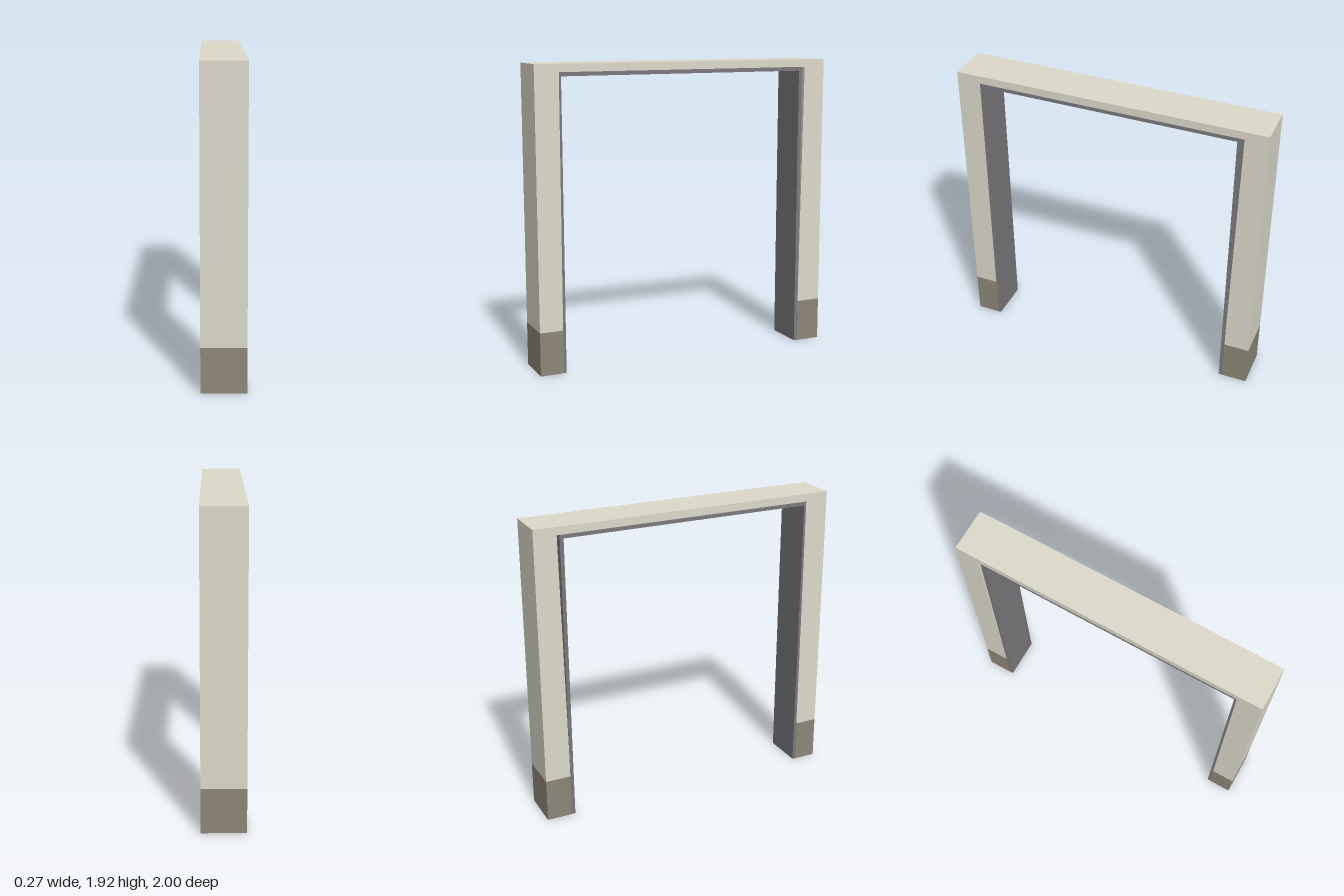
import * as THREE from 'three';

const WIDTH = 0.272;

const material = (color) => new THREE.MeshStandardMaterial({ color, flatShading: true });

// Extrudes a [z, y] outline across x, centred on x = 0
function slab(name, outline, width, mat) {
  const shape = new THREE.Shape(outline.map(([z, y]) => new THREE.Vector2(z, y)));
  const geometry = new THREE.ExtrudeGeometry(shape, { depth: width, bevelEnabled: false });
  geometry.translate(0, 0, -width / 2).rotateY(-Math.PI / 2);
  const mesh = new THREE.Mesh(geometry, mat);
  mesh.name = name;
  return mesh;
}

export function createModel() {
  const group = new THREE.Group();
  group.name = 'doorway';
  const plaster = material(0xdddacb);
  const skirting = material(0x8e8778);
  const trim = material(0x7b797d);

  const top = 1.92, soffit = 1.87, baseTop = 0.277;
  const front = 0.85, back = -0.837;

  // Wall arch: two posts and a lintel; the back post narrows slightly upwards
  group.add(slab('wallArch', [
    [-1, baseTop], [back, baseTop], [back, 0.4], [-0.855, soffit],
    [0.846, soffit], [front, baseTop], [1, baseTop], [1, top], [-1, top],
  ], WIDTH, plaster));

  // Painted base of each post
  for (const [name, a, b] of [['frontBase', front, 1], ['backBase', -1, back]]) {
    group.add(slab(name, [[a, 0], [b, 0], [b, baseTop], [a, baseTop]], WIDTH, skirting));
  }

  // Thin lining around the opening
  group.add(slab('doorLining', [
    [back, 0], [-0.813, 0], [-0.813, 1.845], [0.832, 1.845], [0.832, 0],
    [front, 0], [front, soffit], [back, soffit],
  ], WIDTH - 0.003, trim));

  return group;
}
